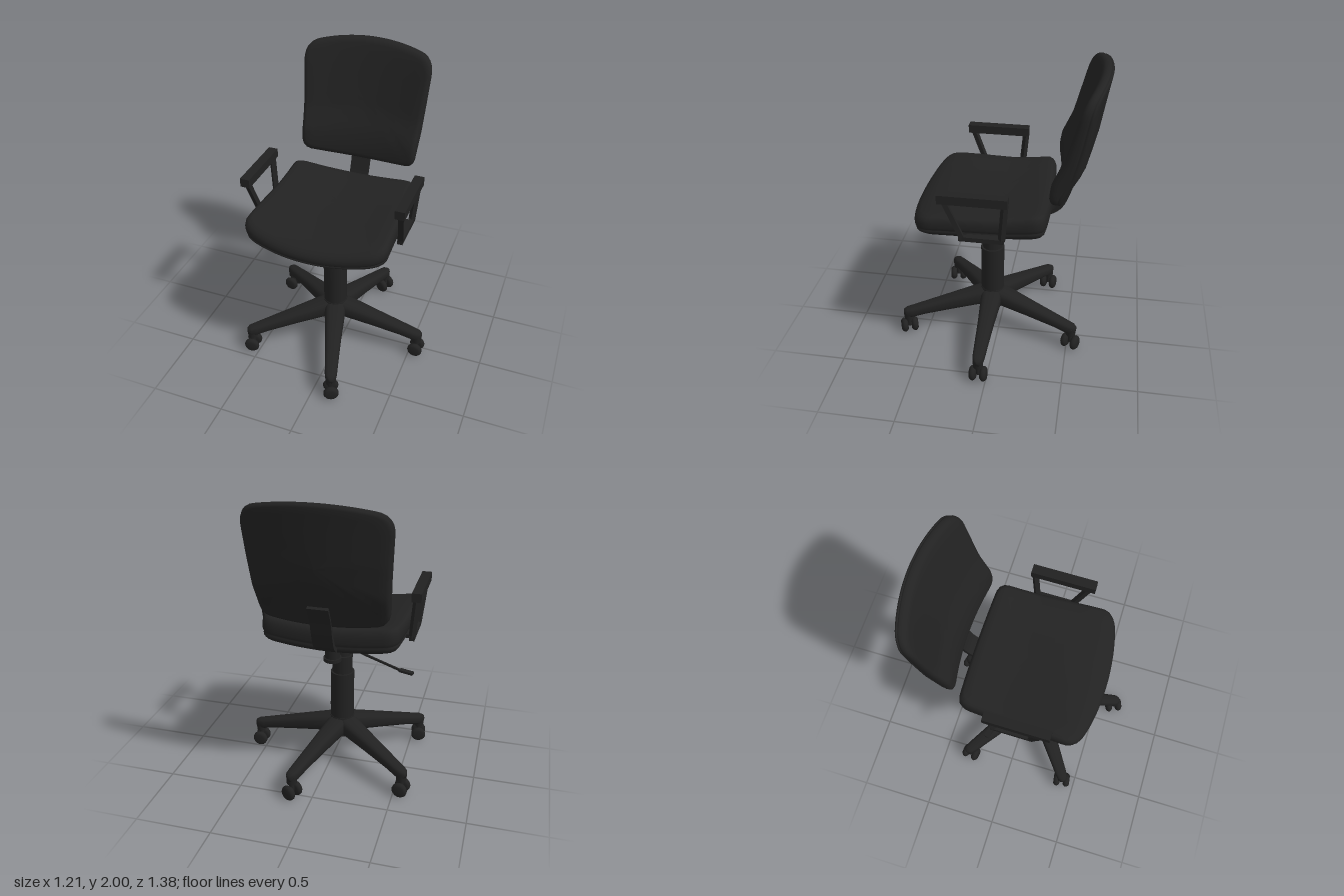
import * as THREE from 'three';

const fabric = new THREE.MeshStandardMaterial({ color: 0x222222 });
fabric.name = 'charcoal fabric';
const plastic = new THREE.MeshStandardMaterial({ color: 0x212121 });
plastic.name = 'black plastic';

const V = (x, y, z) => new THREE.Vector3(x, y, z);

function part(name, geometry, material = plastic) {
  const mesh = new THREE.Mesh(geometry, material);
  mesh.name = name;
  return mesh;
}

// Joins rings of equal length into a smooth skin
function loft(rings) {
  const n = rings[0].length, index = [];
  for (let j = 0; j < rings.length - 1; j++) {
    for (let i = 0; i < n; i++) {
      const a = j * n + i, b = j * n + (i + 1) % n;
      index.push(a, b, b + n, a, b + n, a + n);
    }
  }
  const g = new THREE.BufferGeometry().setFromPoints(rings.flat());
  g.setIndex(index);
  g.computeVertexNormals();
  return g;
}

// Piecewise linear profile lookup, keys rising
function profile(keys, t) {
  if (t <= keys[0][0]) return keys[0][1];
  for (let i = 1; i < keys.length; i++) {
    const [t0, v0] = keys[i - 1], [t1, v1] = keys[i];
    if (t <= t1) return v0 + (v1 - v0) * (t - t0) / (t1 - t0);
  }
  return keys[keys.length - 1][1];
}

// Layers of [scale, height 0..1]: underside, rim with seam, crowned face
const LAYERS = [[0, 0], [0.3, 0], [0.6, 0], [0.85, 0], [0.95, 0.02], [0.985, 0.12], [0.99, 0.24],
  [0.975, 0.27], [0.99, 0.3], [1, 0.42], [1, 0.62], [0.99, 0.78], [0.965, 0.91], [0.92, 0.98],
  [0.8, 1], [0.6, 1], [0.4, 1], [0.2, 1], [0, 1]];

function cushion(shape, cy, place) {
  const outline = shape.getSpacedPoints(96).slice(0, -1);
  return loft(LAYERS.map(([s, h]) => outline.map(p => place(p.x * s, cy + (p.y - cy) * s, h))));
}

// Square bar between two points
function beam(name, a, b, w, h) {
  const mesh = part(name, new THREE.BoxGeometry(w, h, a.distanceTo(b)));
  mesh.position.copy(a).lerp(b, 0.5);
  mesh.lookAt(b);
  return mesh;
}

function cylinder(name, rTop, rBottom, y0, y1, z = 0) {
  const mesh = part(name, new THREE.CylinderGeometry(rTop, rBottom, y1 - y0, 32));
  mesh.position.set(0, (y0 + y1) / 2, z);
  return mesh;
}

function makeSeat() {
  const s = new THREE.Shape();   // plan, with depth reversed
  s.moveTo(0, -0.533);
  s.quadraticCurveTo(0.2, -0.533, 0.37, -0.485);
  s.quadraticCurveTo(0.47, -0.455, 0.472, -0.38);
  s.lineTo(0.44, 0.27);
  s.quadraticCurveTo(0.435, 0.335, 0.37, 0.34);
  s.quadraticCurveTo(0, 0.365, -0.37, 0.34);
  s.quadraticCurveTo(-0.435, 0.335, -0.44, 0.27);
  s.lineTo(-0.472, -0.38);
  s.quadraticCurveTo(-0.47, -0.455, -0.37, -0.485);
  s.quadraticCurveTo(-0.2, -0.533, 0, -0.533);
  const top = [[-0.36, 1.15], [-0.29, 1.155], [-0.18, 1.135], [-0.05, 1.118], [0.3, 1.115], [0.42, 1.105], [0.49, 1.08], [0.54, 1.055]];
  const bottom = [[-0.36, 0.99], [-0.1, 0.972], [0.54, 0.972]];
  return part('seat', cushion(s, 0, (x, w, h) => {
    const z = -w, y0 = profile(bottom, z), y1 = profile(top, z);
    return V(x, y0 + (y1 - y0) * h + 0.038 * (x / 0.45) ** 2, z);
  }), fabric);
}

function makeBackrest() {
  const s = new THREE.Shape();
  s.moveTo(0, 1.22);
  s.quadraticCurveTo(0.2, 1.22, 0.33, 1.235);
  s.quadraticCurveTo(0.4, 1.24, 0.403, 1.31);
  s.lineTo(0.437, 1.84);
  s.quadraticCurveTo(0.437, 1.94, 0.35, 1.962);
  s.quadraticCurveTo(0.18, 2, 0, 2);
  s.quadraticCurveTo(-0.18, 2, -0.35, 1.962);
  s.quadraticCurveTo(-0.437, 1.94, -0.437, 1.84);
  s.lineTo(-0.403, 1.31);
  s.quadraticCurveTo(-0.4, 1.24, -0.33, 1.235);
  s.quadraticCurveTo(-0.2, 1.22, 0, 1.22);
  const front = [[1.22, -0.385], [1.39, -0.41], [1.54, -0.478], [1.84, -0.562], [1.95, -0.595], [2, -0.61]];
  const back = [[1.22, -0.465], [1.3, -0.49], [1.45, -0.575], [1.65, -0.622], [1.92, -0.667], [2, -0.685]];
  return part('backrest', cushion(s, 1.62, (x, y, h) => {
    const z0 = profile(back, y), z1 = profile(front, y);
    return V(x, y + Math.max(0, 1.6 - y) * 0.08 * (h - 0.5), z0 + (z1 - z0) * h + 0.06 * (x / 0.43) ** 2);
  }), fabric);
}

function makeArmrest(side) {
  const g = new THREE.Group();
  g.name = side > 0 ? 'leftArmrest' : 'rightArmrest';
  const pad = part('armPad', new THREE.BoxGeometry(0.063, 0.058, 0.425));
  pad.position.set(side * 0.508, 1.316, 0.086);
  const topX = side * 0.508, lowX = side * 0.485;
  g.add(pad,
    beam('armFrontPost', V(topX, 1.3, 0.265), V(lowX, 1.03, 0.16), 0.034, 0.03),
    beam('armRearPost', V(topX, 1.3, -0.107), V(lowX, 1.03, -0.085), 0.034, 0.03),
    beam('armLowerBar', V(lowX, 1.03, 0.18), V(lowX, 1.03, -0.1), 0.034, 0.03));
  const mount = part('armMount', new THREE.BoxGeometry(0.08, 0.025, 0.2));
  mount.position.set(side * 0.445, 1.03, 0.035);
  g.add(mount);
  return g;
}

function makeCaster() {
  const g = new THREE.Group();
  g.name = 'caster';
  const rim = [[0, -0.023], [0.034, -0.023], [0.045, -0.015], [0.051, -0.006], [0.051, 0.006], [0.045, 0.015], [0.034, 0.023], [0, 0.023]];
  const wheel = new THREE.LatheGeometry(rim.map(p => new THREE.Vector2(...p)), 24).rotateX(Math.PI / 2);
  for (const z of [-0.036, 0.036]) {
    const w = part('casterWheel', wheel);
    w.position.set(0, 0.051, z);
    g.add(w);
  }
  const axle = part('casterAxle', new THREE.CylinderGeometry(0.012, 0.012, 0.07, 12).rotateX(Math.PI / 2));
  axle.position.y = 0.051;
  g.add(axle, cylinder('casterStem', 0.016, 0.016, 0.05, 0.13), cylinder('casterSocket', 0.036, 0.033, 0.112, 0.17));
  return g;
}

// Five tapering spokes with swivelling casters
function makeBase() {
  const g = new THREE.Group();
  g.name = 'base';
  const sections = [[0, 0.078, 0.205, 0.333], [0.08, 0.074, 0.205, 0.33], [0.3, 0.056, 0.175, 0.277],
    [0.5, 0.045, 0.148, 0.226], [0.58, 0.041, 0.13, 0.206], [0.62, 0.035, 0.127, 0.198], [0.642, 0.018, 0.14, 0.185], [0.645, 0, 0.16, 0.16]];
  const leg = loft(sections.map(([x, w, b, t]) => Array.from({ length: 20 }, (_, i) => {
    const a = i / 20 * Math.PI * 2, c = Math.cos(a), s = Math.sin(a);
    const soft = v => Math.sign(v) * Math.abs(v) ** 0.7;
    return V(x, (b + t) / 2 + soft(s) * (t - b) / 2, -soft(c) * w);
  })));
  const swivel = [0, 0.4, 0.15, -0.15, -0.4];
  for (let i = 0; i < 5; i++) {
    const a = i * Math.PI * 2 / 5;
    const spoke = part('baseLeg', leg);
    spoke.rotation.y = -a;
    const caster = makeCaster();
    caster.position.set(0.608 * Math.cos(a), 0, 0.608 * Math.sin(a));
    caster.rotation.y = swivel[i];
    g.add(spoke, caster);
  }
  g.add(cylinder('baseHub', 0.083, 0.095, 0.2, 0.335));
  g.position.z = 0.05;
  return g;
}

// Curved strip joining seat and backrest
function makeBackBracket() {
  const path = new THREE.CatmullRomCurve3([V(0, 0.995, -0.22), V(0, 1.01, -0.34), V(0, 1.06, -0.405),
    V(0, 1.16, -0.45), V(0, 1.27, -0.485), V(0, 1.36, -0.535)]).getPoints(20);
  const s = new THREE.Shape();
  const edge = d => path.map((p, i) => {
    const t = path[Math.min(i + 1, 20)].clone().sub(path[Math.max(i - 1, 0)]).normalize();
    return new THREE.Vector2(-p.z + t.y * d, p.y + t.z * d);
  });
  s.setFromPoints([...edge(0.014), ...edge(-0.014).reverse()]);
  const g = new THREE.ExtrudeGeometry(s, { depth: 0.13, bevelEnabled: false });
  g.translate(0, 0, -0.065).rotateY(Math.PI / 2);
  return part('backBracket', g);
}

export function createModel() {
  const model = new THREE.Group();
  model.name = 'officeChair';
  const chair = new THREE.Group();
  chair.name = 'chair';
  chair.position.x = -0.06;
  chair.add(makeSeat(), makeBackrest(), makeBackBracket(), makeArmrest(1), makeArmrest(-1), makeBase());

  // Gas lift column
  chair.add(cylinder('columnLower', 0.08, 0.08, 0.25, 0.67, 0.05),
    cylinder('columnMiddle', 0.068, 0.068, 0.6, 0.795, 0.05),
    cylinder('columnUpper', 0.054, 0.054, 0.75, 1.0, 0.05));

  // Tilt knob and height lever under the seat
  chair.add(cylinder('tiltKnob', 0.048, 0.048, 0.89, 1.02, -0.21),
    cylinder('tiltKnobRim', 0.058, 0.058, 0.872, 0.895, -0.21));
  const lever = [V(-0.01, 0.985, -0.16), V(-0.18, 0.88, -0.09), V(-0.42, 0.81, -0.115)];
  chair.add(beam('leverArm', lever[0], lever[1], 0.013, 0.013),
    beam('leverRod', lever[1], lever[2], 0.013, 0.013),
    beam('leverPaddle', lever[2], V(-0.51, 0.805, -0.135), 0.034, 0.015));
  model.add(chair);
  return model;
}
